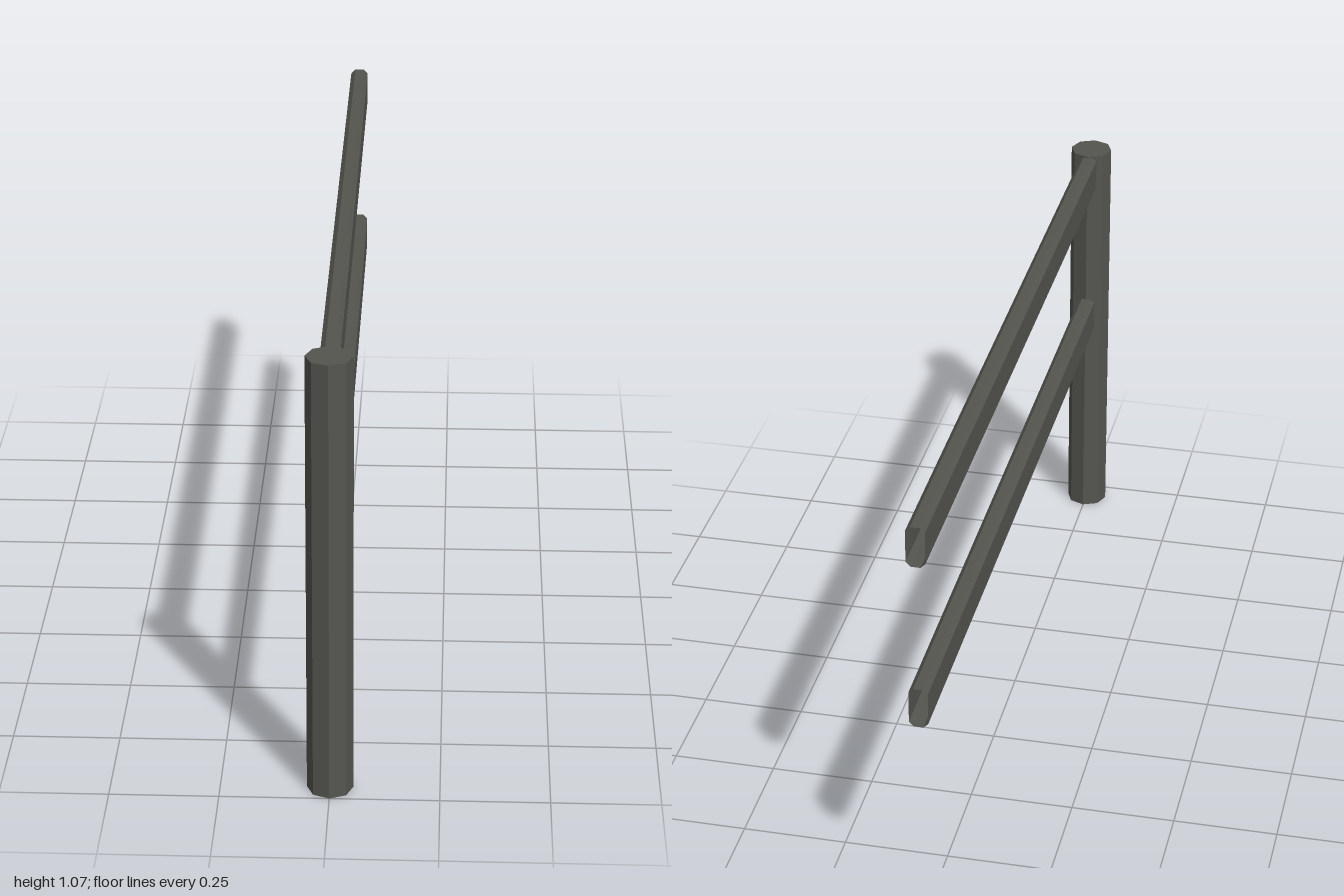
import * as THREE from 'three';

export function createModel() {
  const group = new THREE.Group();
  const darkSteel = new THREE.MeshStandardMaterial({ color: 0x555550, flatShading: true, side: THREE.DoubleSide });
  darkSteel.name = 'darkSteel';

  // Eight-sided upright
  const radius = 0.053, height = 1.068;
  const post = new THREE.Mesh(new THREE.CylinderGeometry(radius, radius, height, 8), darkSteel);
  post.name = 'post';
  post.position.set(0, height / 2, 1 - radius);
  group.add(post);

  // Open-ended rail: upright section with bevelled corners, swept along z
  const w = 0.022, h = 0.05, b = 0.011;
  const section = [
    [w, -h + b], [w, h - b], [w - b, h], [-w + b, h],
    [-w, h - b], [-w, -h + b], [-w + b, -h], [w - b, -h],
  ];
  const zBack = -1, zFront = 0.908;
  const positions = [], indices = [];
  for (const z of [zBack, zFront]) for (const [x, y] of section) positions.push(x, y, z);
  const n = section.length;
  for (let i = 0; i < n; i++) {
    const j = (i + 1) % n;
    indices.push(i, j, n + j, i, n + j, n + i);
  }
  const railGeometry = new THREE.BufferGeometry();
  railGeometry.setAttribute('position', new THREE.Float32BufferAttribute(positions, 3));
  railGeometry.setIndex(indices);
  railGeometry.computeVertexNormals();

  // Top and middle rails
  for (const [name, y] of [['topRail', 1.014], ['middleRail', 0.596]]) {
    const rail = new THREE.Mesh(railGeometry, darkSteel);
    rail.name = name;
    rail.position.y = y;
    group.add(rail);
  }
  return group;
}
